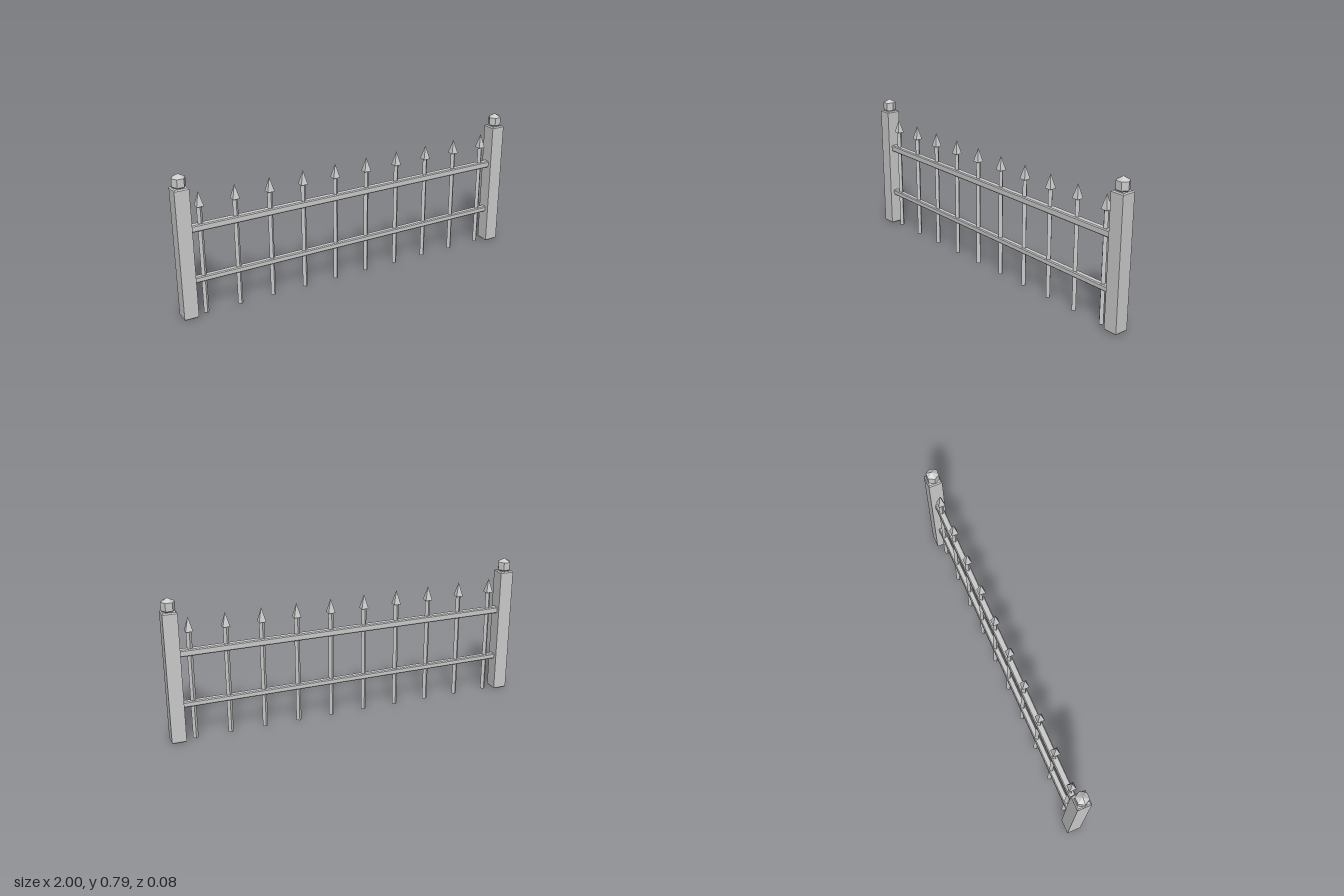
import * as THREE from 'three';

const material = new THREE.MeshStandardMaterial({ color: 0xcccccc, flatShading: true });

// Upright faceted solid from a [radius, height] profile, listed bottom to top
function faceted(name, profile, sides, turn = 0) {
  const points = profile.map(([r, y]) => new THREE.Vector2(r, y));
  const geometry = new THREE.LatheGeometry(points, sides);
  geometry.rotateY(turn);
  const mesh = new THREE.Mesh(geometry, material);
  mesh.name = name;
  return mesh;
}

// Horizontal bar along x with chamfered long edges
function bar(name, y, halfHeight, halfDepth, chamfer, length) {
  const h = halfHeight, d = halfDepth, c = chamfer;
  const section = new THREE.Shape([
    [d - c, -h], [d, c - h], [d, h - c], [d - c, h],
    [c - d, h], [-d, h - c], [-d, c - h], [c - d, -h],
  ].map(([a, b]) => new THREE.Vector2(a, b)));
  const geometry = new THREE.ExtrudeGeometry(section, { depth: length, bevelEnabled: false });
  geometry.translate(0, 0, -length / 2);
  geometry.rotateY(Math.PI / 2);
  const mesh = new THREE.Mesh(geometry, material);
  mesh.name = name;
  mesh.position.y = y;
  return mesh;
}

function createPost(x) {
  const post = new THREE.Group();
  post.name = x > 0 ? 'leftPost' : 'rightPost';
  const k = Math.SQRT2;
  // Square shaft with bevelled ends
  post.add(faceted('postShaft', [
    [0, 0], [0.033 * k, 0], [0.0388 * k, 0.006],
    [0.0388 * k, 0.716], [0.033 * k, 0.722], [0, 0.722],
  ], 4, Math.PI / 4));
  // Six-sided cap with a low point
  post.add(faceted('postCap', [
    [0, 0.72], [0.028, 0.72], [0.0365, 0.729], [0.0365, 0.773], [0, 0.793],
  ], 6, Math.PI / 6));
  post.position.x = x;
  return post;
}

function createPicket(x) {
  const picket = new THREE.Group();
  picket.name = 'picket';
  // Square rod set corner-forward
  picket.add(faceted('rod', [[0, 0], [0.0145, 0], [0.0145, 0.61], [0, 0.61]], 4));
  // Pyramid spearhead set face-forward
  picket.add(faceted('spearhead', [
    [0, 0.603], [0.0195 * Math.SQRT2, 0.603], [0, 0.681],
  ], 4, Math.PI / 4));
  picket.position.x = x;
  return picket;
}

export function createModel() {
  const fence = new THREE.Group();
  fence.name = 'fence';

  for (const side of [-1, 1]) fence.add(createPost(side * 0.9612));

  fence.add(bar('upperRail', 0.49, 0.0185, 0.0185, 0.005, 1.86));
  fence.add(bar('lowerRail', 0.203, 0.0155, 0.0165, 0.005, 1.86));

  for (let i = 0; i < 10; i++) fence.add(createPicket((i - 4.5) * 0.1925));

  return fence;
}
